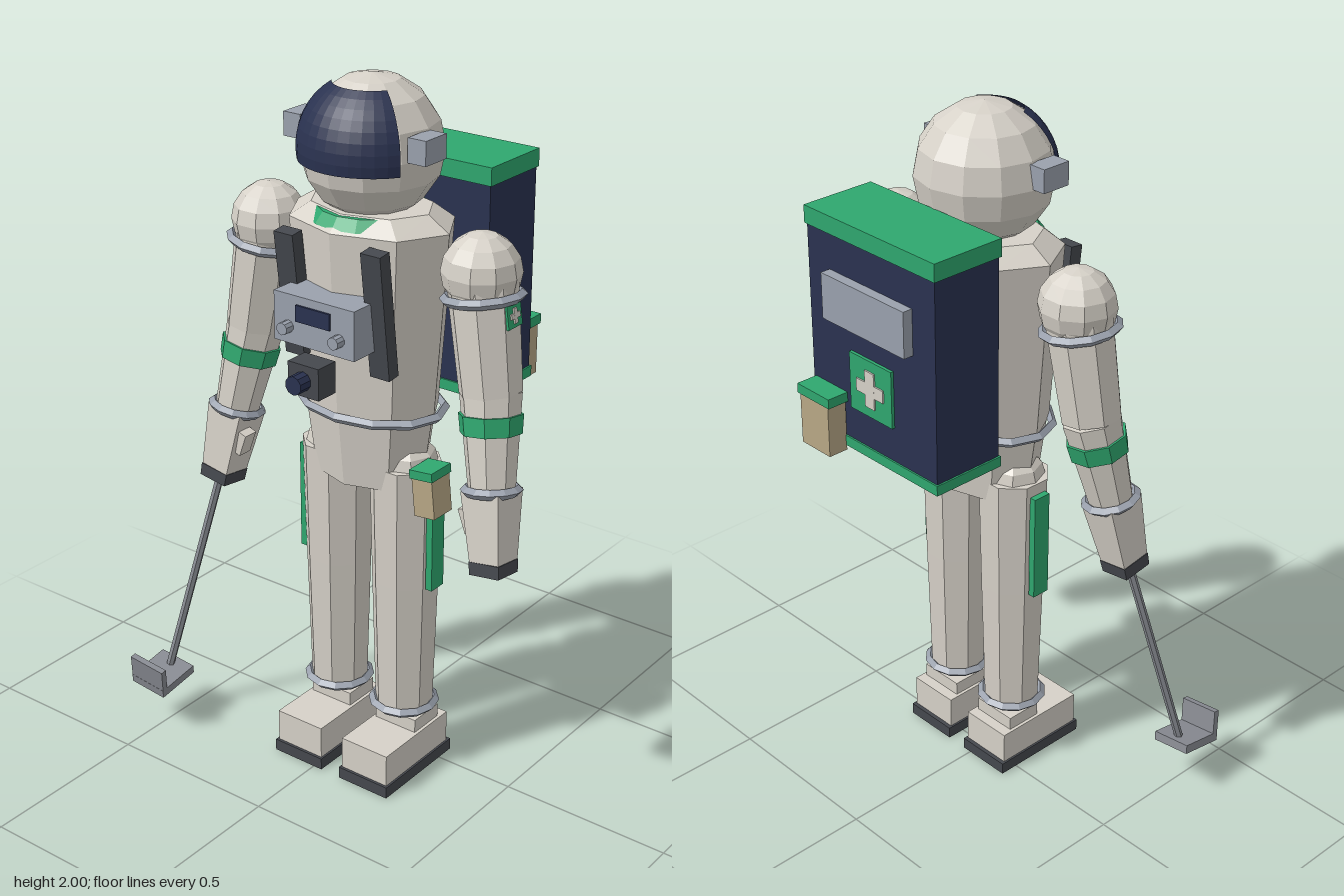
import * as THREE from 'three';

const mat = (name, color) => {
  const m = new THREE.MeshStandardMaterial({ color, flatShading: true });
  m.name = name;
  return m;
};

export function createModel() {
  const suit = mat('suit fabric', 0xd6d1c8);
  const green = mat('green trim', 0x2fa76f);
  const navy = mat('navy', 0x2a3250);
  const dark = mat('dark rubber', 0x45484e);
  const metal = mat('light metal', 0x9aa1ad);
  const steel = mat('tool steel', 0x888b92);
  const tan = mat('tan canvas', 0xb8a886);

  const model = new THREE.Group();
  model.name = 'explorer';
  // Body axis; everything below is placed relative to it
  const body = new THREE.Group();
  body.name = 'body';
  body.position.set(0.06, 0, 0.06);
  model.add(body);

  const add = (name, geo, m, x = 0, y = 0, z = 0, parent = body) => {
    const mesh = new THREE.Mesh(geo, m);
    mesh.name = name;
    mesh.position.set(x, y, z);
    parent.add(mesh);
    return mesh;
  };
  const box = (name, m, w, h, d, x, y, z, parent) =>
    add(name, new THREE.BoxGeometry(w, h, d), m, x, y, z, parent);
  const V = (x, y, z) => new THREE.Vector3(x, y, z);
  const UP = V(0, 1, 0);

  // Tapered tube from point a (upper) to point b (lower)
  const limb = (name, m, a, b, ra, rb, sides = 8, turn = Math.PI / 8) => {
    const geo = new THREE.CylinderGeometry(ra, rb, a.distanceTo(b), sides).rotateY(turn);
    const c = a.clone().add(b).multiplyScalar(0.5);
    const mesh = add(name, geo, m, c.x, c.y, c.z);
    mesh.quaternion.setFromUnitVectors(UP, a.clone().sub(b).normalize());
    return mesh;
  };
  // Joint ring with a diamond section, square to the given axis
  const ring = (name, r, c, axis = UP) => {
    const geo = new THREE.TorusGeometry(r, 0.014, 4, 12).rotateX(Math.PI / 2);
    const mesh = add(name, geo, metal, c.x, c.y, c.z);
    mesh.quaternion.setFromUnitVectors(UP, axis);
    return mesh;
  };
  // Plus sign on a square plate, facing +z
  const emblem = (name, size, x, y, z) => {
    const g = new THREE.Group();
    g.name = name;
    g.position.set(x, y, z);
    body.add(g);
    box('emblemPlate', green, size, size, 0.009, 0, 0, 0, g);
    box('emblemBar', suit, size * 0.64, size * 0.22, 0.006, 0, 0, 0.006, g);
    box('emblemPost', suit, size * 0.22, size * 0.64, 0.0062, 0, 0, 0.006, g);
    return g;
  };

  // Helmet and visor
  add('helmet', new THREE.SphereGeometry(0.19, 12, 8), suit, 0, 1.81, 0);
  const half = 1.02;
  add('visor', new THREE.SphereGeometry(0.195, 12, 8, Math.PI / 2 - half, half * 2, 0.55, 1.18),
    navy, 0, 1.81, 0);
  body.getObjectByName('visor').material.side = THREE.DoubleSide;

  // Torso, shoulder slope and pelvis, eight-sided and flattened front to back
  const slab = (name, rTop, rBottom, yTop, yBottom) =>
    add(name, new THREE.CylinderGeometry(rTop, rBottom, yTop - yBottom, 8), suit, 0, (yTop + yBottom) / 2, 0)
      .scale.set(1, 1, 0.73);
  slab('shoulderSlope', 0.18, 0.245, 1.66, 1.62);
  slab('torso', 0.245, 0.205, 1.62, 1.1);
  slab('pelvis', 0.2, 0.17, 1.1, 0.895);
  add('collar', new THREE.CylinderGeometry(0.145, 0.168, 0.03, 16), green, 0, 1.642, 0);
  ring('belt', 0.215, V(0, 1.105, 0)).scale.set(1, 1, 0.74);

  // Chest control unit and camera
  box('chestUnit', metal, 0.26, 0.135, 0.13, 0, 1.393, 0.18);
  box('chestDisplay', navy, 0.11, 0.045, 0.008, 0, 1.415, 0.247);
  box('camera', dark, 0.1, 0.088, 0.07, 0, 1.255, 0.255);
  add('cameraLens', new THREE.CylinderGeometry(0.026, 0.026, 0.045, 10).rotateX(Math.PI / 2),
    navy, 0, 1.255, 0.308);

  // Backpack
  box('backpack', navy, 0.49, 0.61, 0.215, 0, 1.425, -0.288);
  box('backpackTop', green, 0.5, 0.05, 0.225, 0, 1.727, -0.288);
  box('backpackBase', green, 0.5, 0.03, 0.225, 0, 1.115, -0.288);
  box('backPanel', metal, 0.32, 0.13, 0.03, 0, 1.535, -0.41);
  emblem('backEmblem', 0.165, 0, 1.313, -0.4).rotation.y = Math.PI;
  box('backPouch', tan, 0.115, 0.15, 0.06, 0.172, 1.16, -0.428);
  box('backPouchLid', green, 0.13, 0.028, 0.066, 0.172, 1.248, -0.428);

  for (const s of [-1, 1]) {
    const side = s > 0 ? 'left' : 'right';
    const n = (part) => side + part;

    box(n('Earpiece'), metal, 0.055, 0.065, 0.088, s * 0.198, 1.845, 0.036);
    const strap = box(n('Strap'), dark, 0.062, 0.35, 0.04, s * 0.14, 1.425, 0.152);
    strap.rotation.x = 0.12;
    add(n('Knob'), new THREE.CylinderGeometry(0.017, 0.017, 0.03, 10).rotateX(Math.PI / 2),
      metal, s * 0.083, 1.372, 0.258);

    // Arm
    const shoulder = V(s * 0.345, 1.545, 0);
    const elbow = V(s * 0.392, 1.235, 0.015);
    const wrist = V(s * 0.432, 0.985, 0.058);
    const palm = V(s * 0.462, 0.8, 0.086);
    const tip = V(s * 0.467, 0.765, 0.091);
    const upper = shoulder.clone().sub(elbow).normalize();
    const lower = elbow.clone().sub(wrist).normalize();
    add(n('Shoulder'), new THREE.SphereGeometry(0.105, 10, 8), suit, shoulder.x, shoulder.y, shoulder.z);
    limb(n('UpperArm'), suit, shoulder, elbow, 0.095, 0.084);
    limb(n('Forearm'), suit, elbow, wrist, 0.083, 0.063);
    limb(n('ArmBand'), green, elbow.clone().lerp(wrist, 0.22), elbow.clone().lerp(wrist, 0.42), 0.086, 0.082);
    ring(n('ShoulderRing'), 0.099, shoulder.clone().lerp(elbow, 0.2), upper);
    ring(n('WristRing'), 0.069, wrist, lower);
    limb(n('Hand'), suit, wrist, palm, 0.082, 0.064, 4, Math.PI / 4);
    limb(n('Fingertips'), dark, palm, tip, 0.066, 0.064, 4, Math.PI / 4);
    const thumb = box(n('Thumb'), suit, 0.04, 0.07, 0.045, s * 0.392, 0.9, 0.085);
    thumb.rotation.z = s * 0.35;

    // Leg
    const x = s * 0.116;
    add(n('Hip'), new THREE.SphereGeometry(0.092, 8, 6), suit, x, 0.94, 0);
    limb(n('Thigh'), suit, V(x, 0.955, 0), V(x, 0.6, 0), 0.102, 0.094);
    limb(n('Shin'), suit, V(x, 0.6, 0), V(x, 0.2, 0), 0.094, 0.083);
    ring(n('AnkleRing'), 0.087, V(x, 0.203, 0));
    box(n('LegStripe'), green, 0.02, 0.32, 0.055, s * 0.218, 0.76, 0.003);

    // Boot
    box(n('BootSole'), dark, 0.168, 0.035, 0.31, x, 0.0175, 0.04);
    box(n('Boot'), suit, 0.156, 0.098, 0.29, x, 0.082, 0.042);
    box(n('BootCuff'), suit, 0.137, 0.042, 0.11, x, 0.15, -0.015);
  }

  // Sleeve patch on the left arm
  const patch = emblem('sleevePatch', 0.062, 0.446, 1.453, 0.005);
  patch.rotation.set(0, Math.PI / 2, 0.15, 'ZYX');

  // Hip pouch on the left side
  const pouch = new THREE.Group();
  pouch.name = 'hipPouch';
  pouch.position.set(0.237, 0.92, 0.05);
  pouch.rotation.z = 0.1;
  body.add(pouch);
  box('pouchBag', tan, 0.065, 0.11, 0.08, 0, -0.01, 0, pouch);
  box('pouchLid', green, 0.073, 0.025, 0.088, 0, 0.056, 0, pouch);

  // Sampling tool held in the right hand
  limb('toolShaft', steel, V(-0.462, 0.8, 0.095), V(-0.573, 0.17, 0.232), 0.012, 0.012, 6);
  const scoop = new THREE.Group();
  scoop.name = 'toolHead';
  scoop.position.set(-0.573, 0.152, 0.265);
  scoop.rotation.set(0.16, 0, -0.12);
  body.add(scoop);
  box('scoopPlate', steel, 0.12, 0.026, 0.135, 0, 0, 0, scoop);
  box('scoopLip', steel, 0.12, 0.075, 0.018, 0, 0.045, 0.058, scoop);

  return model;
}
